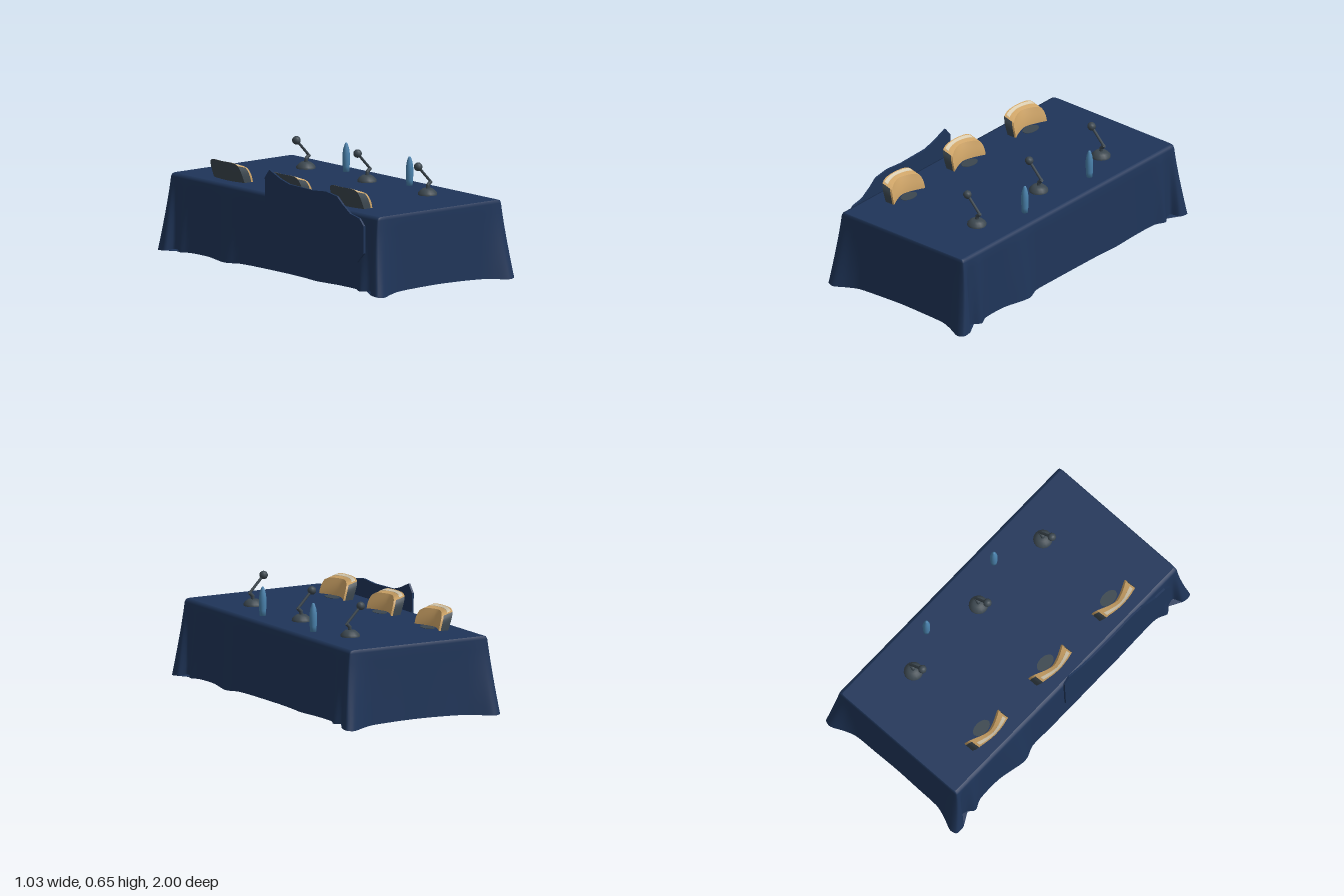
import * as THREE from 'three';

const mat = (name, color, side = THREE.FrontSide) => {
  const m = new THREE.MeshStandardMaterial({ color, side });
  m.name = name;
  return m;
};

const TOP = 0.46;

export function createModel() {
  const navy = mat('navy cloth', 0x1f3559, THREE.DoubleSide);
  const grey = mat('dark grey', 0x3c474f);
  const tan = mat('tan leather', 0xcda366);
  const cream = mat('cream trim', 0xd9ccb0);
  const blue = mat('bottle blue', 0x4a82ad);
  const model = new THREE.Group();
  const add = (parent, name, geometry, material) => {
    const mesh = new THREE.Mesh(geometry, material);
    mesh.name = name;
    parent.add(mesh);
    return mesh;
  };

  // Tablecloth: one quarter of the hem as [top x, top z, hem x, hem z, hem y]
  const quarter = [
    [0, 0.935, 0, 0.937, 0.022], [0.16, 0.935, 0.16, 0.94, 0.02],
    [0.3, 0.935, 0.31, 0.942, 0.014], [0.37, 0.935, 0.39, 0.965, 0.008],
    [0.42, 0.935, 0.465, 0.997, 0.003], [0.455, 0.932, 0.51, 0.985, 0.008],
    [0.46, 0.915, 0.508, 0.925, 0.014], [0.46, 0.885, 0.458, 0.9, 0.02],
    [0.46, 0.85, 0.464, 0.855, 0.02], [0.46, 0.8, 0.495, 0.81, 0.018],
    [0.46, 0.74, 0.468, 0.74, 0.02], [0.46, 0.58, 0.467, 0.58, 0.02],
    [0.46, 0.42, 0.5, 0.4, 0.016], [0.46, 0.3, 0.47, 0.3, 0.02],
    [0.46, 0.15, 0.472, 0.15, 0.024],
  ];
  const topRing = [], hemRing = [];
  for (const [sx, sz] of [[1, 1], [1, -1], [-1, -1], [-1, 1]]) {
    const forward = sx * sz > 0;
    const list = forward ? quarter : quarter.slice(1).reverse();
    for (const [tx, tz, hx, hz, hy] of list) {
      // the broad mid-side fold occurs on alternate quarters only
      const fold = !forward && tz === 0.42 ? 0.47 : hx;
      topRing.push(new THREE.Vector3(tx * sx, TOP - 0.02, tz * sz));
      hemRing.push(new THREE.Vector3(fold * sx, hy, hz * sz));
    }
  }
  const N = topRing.length * 4;
  const topCurve = new THREE.CatmullRomCurve3(topRing, true, 'catmullrom', 0.4);
  const hemCurve = new THREE.CatmullRomCurve3(hemRing, true, 'catmullrom', 0.4);
  const ROWS = 8;
  const rim = [[0.955, 0.993, TOP], [0.985, 0.998, TOP - 0.005]];
  const skirt = [], skirtIdx = [];
  const lid = [0, TOP, 0], lidIdx = [], base = [0, 0.022, 0], baseIdx = [];
  for (let r = -rim.length; r <= ROWS; r++) {
    const t = r / ROWS;
    for (let i = 0; i < N; i++) {
      const a = topCurve.getPoint(i / N), b = hemCurve.getPoint(i / N);
      const next = (i + 1) % N;
      const point = r < 0
        ? [a.x * rim[r + 2][0], rim[r + 2][2], a.z * rim[r + 2][1]]
        : [a.x + (b.x - a.x) * t, a.y + (b.y - a.y) * t, a.z + (b.z - a.z) * Math.pow(t, 1.4)];
      skirt.push(...point);
      if (r === -rim.length) {
        lid.push(...point);
        lidIdx.push(0, i + 1, next + 1);
      }
      if (r === ROWS) {
        base.push(...point);
        baseIdx.push(0, next + 1, i + 1);
      } else {
        const row = (r + rim.length) * N, p = row + i, q = row + next;
        skirtIdx.push(p, p + N, q, q, p + N, q + N);
      }
    }
  }
  const surface = (points, indices) => {
    const g = new THREE.BufferGeometry();
    g.setAttribute('position', new THREE.Float32BufferAttribute(points, 3));
    g.setIndex(indices);
    g.computeVertexNormals();
    return g;
  };
  const cloth = new THREE.Group();
  cloth.name = 'tablecloth';
  model.add(cloth);
  add(cloth, 'clothSkirt', surface(skirt, skirtIdx), navy);
  add(cloth, 'clothTop', surface(lid, lidIdx), navy);
  add(cloth, 'clothUnderside', surface(base, baseIdx), navy);

  // Loose cloth panel hanging behind the chairs, outlined in z and y
  const outline = [
    [-0.04, 0.23], [-0.05, 0.56], [-0.01, 0.61], [0.09, 0.57], [0.17, 0.55],
    [0.38, 0.545], [0.5, 0.555], [0.6, 0.54], [0.65, 0.5], [0.72, 0.455], [0.8, 0.44],
    [0.84, 0.4], [0.84, 0.24], [0.78, 0.18], [0.5, 0.22], [0.3, 0.18], [0.08, 0.2],
  ];
  const panelShape = new THREE.Shape(outline.map(([z, y]) => new THREE.Vector2(-z, y)));
  const panelGeo = new THREE.ExtrudeGeometry(panelShape, { depth: 0.012, bevelEnabled: false });
  panelGeo.rotateY(Math.PI / 2);
  add(model, 'backPanel', panelGeo, navy).position.x = -0.488;

  // Chair layers: boxes bent into a curved, leaning shell between depths d0 and d1
  const bentBox = (d0, d1, v0, v1, width) => {
    const g = new THREE.BoxGeometry(1, 1, 1, 2, 8, 14);
    const p = g.attributes.position;
    for (let i = 0; i < p.count; i++) {
      const d = d0 + (d1 - d0) * (p.getX(i) + 0.5);
      const v = v0 + (v1 - v0) * (p.getY(i) + 0.5);
      const u = p.getZ(i) * 2 * width;
      const back = -0.355 - 0.05 * v + 0.02 * u * u;
      const front = -0.332 - 0.03 * v * v + 0.05 * Math.pow(Math.abs(u), 1.5);
      const y = 0.43 + v * (0.147 - 0.016 * Math.pow(u, 6) - 0.02 * d);
      p.setXYZ(i, back + (front - back) * d, y, u * (0.137 - 0.015 * Math.pow(v, 5)));
    }
    g.computeVertexNormals();
    return g;
  };
  const shellGeo = bentBox(0, 0.8, 0, 1, 1);
  const cushionGeo = bentBox(0.8, 1, 0, 1, 1);
  const trimGeo = bentBox(0.15, 0.5, 0.99, 1.012, 0.9);
  const seatGeo = new THREE.CylinderGeometry(0.06, 0.06, 0.004, 20);
  seatGeo.scale(0.6, 1, 1);

  // Microphone parts
  const rod = (parent, name, a, b, r) => {
    const from = new THREE.Vector3(...a), dir = new THREE.Vector3(...b).sub(from);
    const mesh = add(parent, name, new THREE.CylinderGeometry(r, r, dir.length(), 8), grey);
    mesh.position.copy(from).addScaledVector(dir, 0.5);
    mesh.quaternion.setFromUnitVectors(new THREE.Vector3(0, 1, 0), dir.normalize());
  };
  const lathe = (points, n) =>
    new THREE.LatheGeometry(points.map(([r, y]) => new THREE.Vector2(r, y)), n);
  const baseGeo = lathe([[0.056, 0], [0.055, 0.012], [0.042, 0.026], [0.028, 0.036], [0, 0.038]], 16);

  for (const z of [-0.54, 0, 0.535]) {
    const chair = new THREE.Group();
    chair.name = 'chair';
    chair.position.z = z;
    model.add(chair);
    add(chair, 'chairShell', shellGeo, [grey, grey, tan, grey, grey, grey]);
    add(chair, 'chairCushion', cushionGeo, tan);
    add(chair, 'chairTrim', trimGeo, cream);
    add(chair, 'chairSeat', seatGeo, grey).position.set(-0.29, TOP, 0);
  }

  for (const z of [-0.55, 0, 0.545]) {
    const mic = new THREE.Group();
    mic.name = 'microphone';
    mic.position.set(0.23, TOP, z);
    model.add(mic);
    add(mic, 'microphoneBase', baseGeo, grey);
    rod(mic, 'microphoneNeck', [0, 0.03, 0], [0.005, 0.058, 0], 0.011);
    rod(mic, 'microphoneJoint', [0, 0.052, 0], [0.025, 0.076, 0], 0.011);
    rod(mic, 'microphoneArm', [0.028, 0.068, 0], [-0.06, 0.16, 0], 0.008);
    add(mic, 'microphoneHead', new THREE.SphereGeometry(0.025, 10, 7), grey)
      .position.set(-0.07, 0.17, 0);
  }

  // Bottles
  const bottleGeo = lathe([
    [0, 0], [0.018, 0], [0.02, 0.03], [0.022, 0.06], [0.022, 0.1],
    [0.017, 0.135], [0.009, 0.16], [0.005, 0.167], [0, 0.168],
  ], 12);
  for (const z of [-0.32, 0.25]) {
    add(model, 'bottle', bottleGeo, blue).position.set(0.34, TOP, z);
  }
  return model;
}
